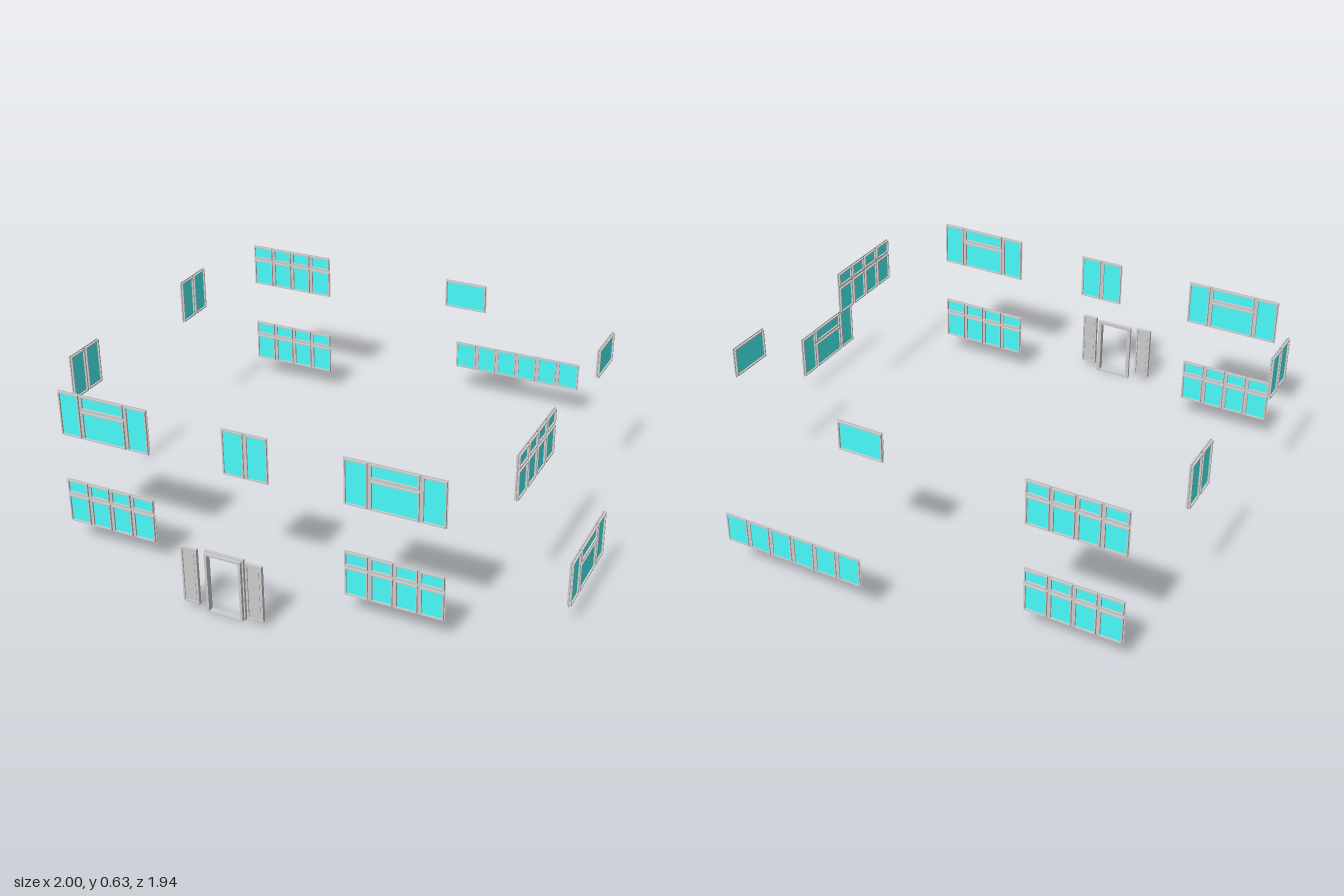
import * as THREE from 'three';

const grey = new THREE.MeshStandardMaterial({ color: 0xcccccc });
const thinGrey = new THREE.MeshStandardMaterial({ color: 0xcccccc, side: THREE.DoubleSide });
const glass = new THREE.MeshStandardMaterial({ color: 0x4afafa });

const GAP = 0.011;       // groove between neighbouring sashes
const BORDER = 0.005;    // face width of a sash frame
const OVERHANG = 0.004;  // flat surround beyond the sashes

function rectPath(PathType, { x0, x1, y0, y1 }, inset = 0) {
  return new PathType([
    [x0 + inset, y0 + inset], [x1 - inset, y0 + inset],
    [x1 - inset, y1 - inset], [x0 + inset, y1 - inset],
  ].map(([x, y]) => new THREE.Vector2(x, y)));
}

// Rectangle with rectangular holes
function rectShape(outer, holes, inset) {
  const shape = rectPath(THREE.Shape, outer);
  shape.holes = holes.map((r) => rectPath(THREE.Path, r, inset));
  return shape;
}

// Frame of some depth, centred on z = 0
function frame(outer, opening, inset, depth) {
  const shape = rectShape(outer, [opening], inset);
  return new THREE.ExtrudeGeometry(shape, { depth, bevelEnabled: false }).translate(0, 0, -depth / 2);
}

function add(parent, name, geometry, material, x = 0, y = 0, z = 0) {
  const mesh = new THREE.Mesh(geometry, material);
  mesh.name = name;
  mesh.position.set(x, y, z);
  parent.add(mesh);
}

// Split a width into sash rectangles: columns given by fractions, some with a transom
function sashCells(w, h, fractions, transomColumns) {
  const cells = [];
  const split = h * (2 / 3);
  let left = 0;
  fractions.forEach((f, i) => {
    const right = left + f * w;
    const x0 = left - w / 2 + (i ? GAP / 2 : 0);
    const x1 = right - w / 2 - (i < fractions.length - 1 ? GAP / 2 : 0);
    if (transomColumns.includes(i)) {
      cells.push({ x0, x1, y0: 0, y1: split - GAP / 2 }, { x0, x1, y0: split + GAP / 2, y1: h });
    } else {
      cells.push({ x0, x1, y0: 0, y1: h });
    }
    left = right;
  });
  return cells;
}

const styles = {
  single: { columns: [1], transoms: [] },
  double: { columns: [0.5, 0.5], transoms: [] },
  picture: { columns: [0.245, 0.51, 0.245], transoms: [1] },
  grid: { columns: [0.25, 0.25, 0.25, 0.25], transoms: [0, 1, 2, 3] },
  strip: { columns: Array(6).fill(1 / 6), transoms: [] },
};

// One window: flat surround with mullions, deeper sash frames, glass panes
function makeWindow(name, style, w, h, depth) {
  const group = new THREE.Group();
  group.name = name;
  const { columns, transoms } = styles[style];
  const cells = sashCells(w, h, columns, transoms);
  const outer = { x0: -w / 2 - OVERHANG, x1: w / 2 + OVERHANG, y0: -OVERHANG, y1: h + OVERHANG };
  add(group, 'surround', new THREE.ShapeGeometry(rectShape(outer, cells, BORDER / 2)), thinGrey);
  cells.forEach((c) => {
    add(group, 'sashFrame', frame(c, c, BORDER, depth), grey);
    const pane = new THREE.BoxGeometry(c.x1 - c.x0 - BORDER, c.y1 - c.y0 - BORDER, 0.002);
    add(group, 'glassPane', pane, glass, (c.x0 + c.x1) / 2, (c.y0 + c.y1) / 2);
  });
  return group;
}

// Side panel of the entrance: frame, recessed board and two raised fields
function makeDoorPanel(name, x) {
  const group = new THREE.Group();
  group.name = name;
  const w = 0.063, h = 0.225;
  const outer = { x0: -w / 2, x1: w / 2, y0: 0, y1: h };
  add(group, 'panelFrame', frame(outer, outer, 0.007, 0.013), grey);
  add(group, 'panelBoard', new THREE.BoxGeometry(w - 0.008, h - 0.008, 0.005), grey, 0, h / 2);
  for (const [y, fieldHeight] of [[0.06, 0.09], [0.163, 0.095]]) {
    add(group, 'raisedField', new THREE.BoxGeometry(w - 0.024, fieldHeight, 0.008), grey, 0, y);
  }
  group.position.set(x, 0.024, 0.964);
  return group;
}

export function createModel() {
  const model = new THREE.Group();
  model.name = 'windowsAndDoor';

  const LOW = 0.09, HIGH = 0.455, SMALL = 0.515;
  const QUARTER = Math.PI / 2;

  // name, style, width, height, depth, x, y, z, turn
  const windows = [
    ['frontUpperRightWindow', 'picture', 0.367, 0.174, 0.015, -0.683, HIGH, 0.777, 0],
    ['frontUpperLeftWindow', 'picture', 0.367, 0.174, 0.015, 0.452, HIGH, 0.777, 0],
    ['frontUpperMiddleWindow', 'double', 0.174, 0.174, 0.011, -0.108, HIGH, 0.778, 0],
    ['frontLowerRightWindow', 'grid', 0.367, 0.174, 0.015, -0.683, LOW, 0.777, 0],
    ['frontLowerLeftWindow', 'grid', 0.367, 0.174, 0.015, 0.452, LOW, 0.777, 0],
    ['backUpperWindow', 'grid', 0.367, 0.174, 0.015, -0.737, HIGH, -0.754, Math.PI],
    ['backLowerWindow', 'grid', 0.367, 0.174, 0.015, -0.737, LOW, -0.754, Math.PI],
    ['backSmallWindow', 'single', 0.176, 0.114, 0.015, 0.085, SMALL, -0.754, Math.PI],
    ['backStripWindow', 'strip', 0.56, 0.114, 0.008, 0.25, 0.132, -0.968, Math.PI],
    ['leftUpperWindow', 'grid', 0.367, 0.174, 0.015, 0.781, HIGH, 0.338, QUARTER],
    ['leftSmallWindow', 'single', 0.176, 0.114, 0.015, 0.781, SMALL, -0.45, QUARTER],
    ['leftLowerWindow', 'picture', 0.367, 0.174, 0.015, 0.99, LOW, 0.339, QUARTER],
    ['rightFrontWindow', 'double', 0.174, 0.174, 0.015, -0.99, HIGH, 0.445, -QUARTER],
    ['rightBackWindow', 'double', 0.174, 0.174, 0.015, -0.99, HIGH, -0.338, -QUARTER],
  ];
  for (const [name, style, w, h, depth, x, y, z, turn] of windows) {
    const win = makeWindow(name, style, w, h, depth);
    win.position.set(x, y, z);
    win.rotation.y = turn;
    model.add(win);
  }

  // Open doorway: outer casing with a slimmer stepped trim in front
  const doorway = new THREE.Group();
  doorway.name = 'doorway';
  const casing = { x0: -0.076, x1: 0.076, y0: 0, y1: 0.248 };
  const opening = { x0: -0.062, x1: 0.062, y0: 0.007, y1: 0.235 };
  const trim = { x0: -0.071, x1: 0.071, y0: 0.002, y1: 0.243 };
  add(doorway, 'doorCasing', frame(casing, opening, 0, 0.011), grey, 0, 0, 0.951);
  add(doorway, 'doorTrim', frame(trim, opening, 0, 0.012), grey, 0, 0, 0.9625);
  doorway.position.x = -0.105;
  model.add(doorway);

  // Panels either side of the doorway
  model.add(makeDoorPanel('rightDoorPanel', -0.236), makeDoorPanel('leftDoorPanel', 0.018));

  return model;
}
